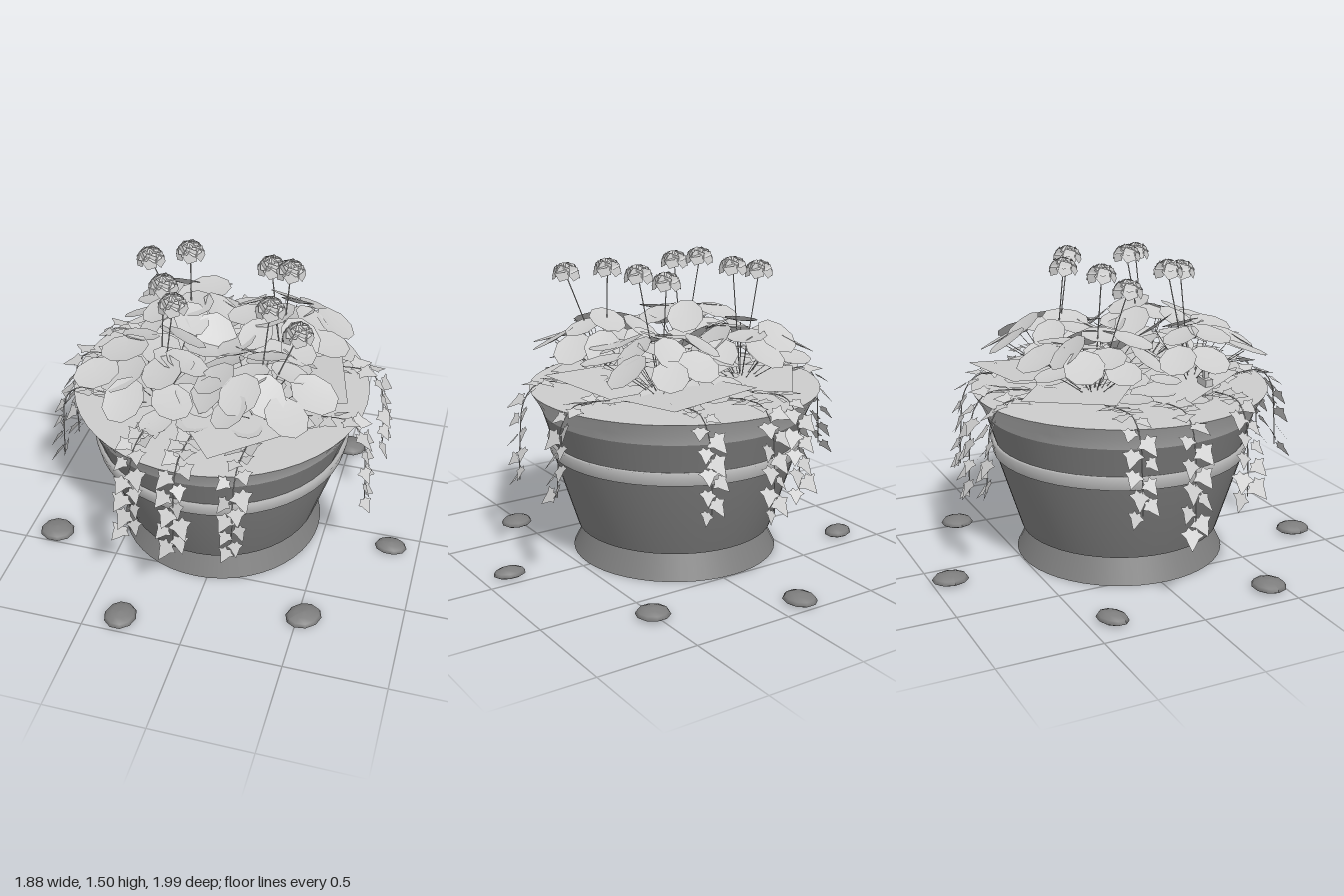
import * as THREE from 'three';

const CX = -0.06, CZ = 0.025, TOP = 0.855;
const V = (x, y, z) => new THREE.Vector3(x, y, z);
const mat = (name, color) => {
  const m = new THREE.MeshStandardMaterial({ color, side: THREE.DoubleSide });
  m.name = name;
  return m;
};

// small seeded random
function makeRandom(seed) {
  return () => {
    seed = (seed * 16807) % 2147483647;
    return seed / 2147483647;
  };
}

// place a flat piece with its +y along "tip" and its +z along "normal"
function orient(mesh, pos, tip, normal) {
  const y = tip.clone().normalize();
  const x = new THREE.Vector3().crossVectors(y, normal).normalize();
  const z = new THREE.Vector3().crossVectors(x, y);
  mesh.quaternion.setFromRotationMatrix(new THREE.Matrix4().makeBasis(x, y, z));
  mesh.position.copy(pos);
  return mesh;
}

// a disc whose middle is moved along its normal
function cuppedDisc(radius, sides, depth, stretch = 1) {
  const g = new THREE.CircleGeometry(radius, sides);
  g.attributes.position.setZ(0, depth);
  g.scale(1, stretch, 1);
  g.computeVertexNormals();
  return g;
}

// lobed trailing leaf, stalk at the origin, tip along +y
function ivyLeafGeometry() {
  const s = new THREE.Shape();
  const half = [[0.02, -0.014], [0.027, 0.004], [0.054, 0.016], [0.03, 0.034], [0.02, 0.056]];
  s.moveTo(0, 0);
  half.forEach(p => s.lineTo(p[0], p[1]));
  s.lineTo(0, 0.092);
  half.slice().reverse().forEach(p => s.lineTo(-p[0], p[1]));
  s.closePath();
  return new THREE.ShapeGeometry(s);
}

export function createModel() {
  const rnd = makeRandom(77);
  const root = new THREE.Group();
  root.name = 'flowerPlanter';
  const M = {
    pot: mat('pot grey', 0x7e7e7e),
    band: mat('band grey', 0xbcbcbc),
    plant: mat('pale grey', 0xcccccc)
  };
  const add = (parent, name, geo, material) => {
    const m = new THREE.Mesh(geo, material);
    m.name = name;
    parent.add(m);
    return m;
  };
  const group = (name) => {
    const g = new THREE.Group();
    g.name = name;
    root.add(g);
    return g;
  };

  // pot: open-bottomed shell made from turned sections
  const pot = group('pot');
  pot.position.set(CX, 0, CZ);
  const turned = (name, pts, material) =>
    add(pot, name, new THREE.LatheGeometry(pts.map(p => new THREE.Vector2(p[0], p[1])), 48), material);
  turned('foot', [[0.522, 0], [0.455, 0.135]], M.pot);
  turned('lowerBody', [[0.455, 0.135], [0.497, 0.135], [0.622, 0.53]], M.pot);
  turned('middleBand', [[0.622, 0.53], [0.632, 0.53], [0.645, 0.592], [0.622, 0.592]], M.band);
  turned('upperBody', [[0.622, 0.592], [0.668, 0.74]], M.pot);
  turned('rim', [[0.668, 0.74], [0.69, 0.79], [0.73, TOP]], M.band);
  const soil = add(pot, 'soil', new THREE.CircleGeometry(0.73, 48), M.plant);
  soil.rotation.x = -Math.PI / 2;
  soil.position.y = TOP;

  // flowering plants: stalks, domed foliage
  const foliage = group('foliage');
  const leafGeo = cuppedDisc(0.088, 9, -0.012, 1.2);
  const stalk = (parent, name, a, b, r) => {
    const mid = a.clone().lerp(b, 0.5);
    mid.y += 0.01;
    add(parent, name, new THREE.TubeGeometry(new THREE.QuadraticBezierCurve3(a, mid, b), 3, r, 4), M.plant);
  };
  const bases = [[-0.29, -0.22], [0.18, -0.22], [-0.29, 0.295], [0.18, 0.295]];
  const rings = [[9, 0.275, 1.08, 0.4], [6, 0.17, 1.14, 0.35], [2, 0.07, 1.15, 0.2]];
  for (const [bx, bz] of bases) {
    const base = V(bx, 0.86, bz);
    for (const [n, radius, height, tilt] of rings) {
      const phase = rnd() * 6;
      for (let i = 0; i < n; i++) {
        const a = phase + (i + 0.5 * rnd()) / n * Math.PI * 2;
        const r = radius + (rnd() - 0.5) * 0.06;
        const t = tilt + (rnd() - 0.5) * 0.6;
        const out = V(Math.cos(a), 0, Math.sin(a));
        const pos = base.clone().addScaledVector(out, r).setY(height + (rnd() - 0.5) * 0.06);
        const tip = out.clone().multiplyScalar(Math.cos(t)).setY(-Math.sin(t));
        const normal = out.clone().multiplyScalar(Math.sin(t)).setY(Math.cos(t));
        // roll each leaf a little about its own length
        normal.addScaledVector(V(-out.z, 0, out.x), (rnd() - 0.5) * 0.6);
        const leaf = orient(add(foliage, 'roundLeaf', leafGeo, M.plant), pos, tip, normal);
        leaf.scale.setScalar(0.9 + rnd() * 0.25);
        stalk(foliage, 'leafStalk', base, pos.clone().addScaledVector(normal, -0.018), 0.002);
      }
    }
  }

  // flower heads: three tiers of overlapping florets over a dome
  const flowers = group('flowers');
  const floretGeo = new THREE.CircleGeometry(0.042, 5);
  const heads = [
    [-0.46, 1.4, -0.13, 0], [-0.27, 1.44, -0.17, 0], [0.13, 1.405, -0.19, 1], [0.24, 1.44, -0.12, 1],
    [-0.3, 1.44, 0.16, 2], [-0.22, 1.415, 0.27, 2], [0.22, 1.425, 0.2, 3], [0.38, 1.4, 0.33, 3]
  ];
  const tiers = [[1, 0.02], [5, 0.65], [6, 1.25]];
  for (const [x, y, z, plant] of heads) {
    const centre = V(x, y, z);
    stalk(flowers, 'flowerStem', V(bases[plant][0], 0.86, bases[plant][1]), centre, 0.003);
    for (const [n, lean] of tiers) {
      for (let i = 0; i < n; i++) {
        const a = (i + lean) / n * Math.PI * 2;
        const s = Math.sin(lean), c = Math.cos(lean);
        const normal = V(s * Math.cos(a), c, s * Math.sin(a));
        const pos = V(normal.x * 0.058, normal.y * 0.05, normal.z * 0.058).add(centre);
        const tip = V(c * Math.cos(a), -s, c * Math.sin(a));
        orient(add(flowers, 'floret', floretGeo, M.plant), pos, tip, normal);
      }
    }
  }

  // ground cover: broad tilted plates and low leaves
  const cover = group('groundCover');
  const plates = [
    [0.14, -0.34, 0.5, 0.5, 0.1], [0.3, 0.02, 0.5, 0.45, 0.25], [-0.3, -0.3, 0.45, 0.4, 0.9],
    [-0.36, 0.18, 0.4, 0.5, 0.5], [0.14, 0.36, 0.55, 0.4, 0.7], [-0.06, 0.05, 0.5, 0.5, 0.4]
  ];
  for (const [x, z, w, d, turn] of plates) {
    const p = add(cover, 'broadPlate', new THREE.PlaneGeometry(w, d), M.plant);
    p.rotation.set(-Math.PI / 2 + (rnd() - 0.5) * 0.2, (rnd() - 0.5) * 0.2, turn);
    p.position.set(x, 0.92, z);
  }
  for (let i = 0; i < 32; i++) {
    const a = i * 2.4, r = 0.54 * Math.sqrt((i + 0.5) / 32), t = (rnd() - 0.5) * 0.4;
    const out = V(Math.cos(a), 0, Math.sin(a));
    const pos = V(CX, 0.89 + (0.56 - r) * 0.08 + rnd() * 0.03, CZ).addScaledVector(out, r);
    orient(add(cover, 'lowLeaf', leafGeo, M.plant), pos, out.clone().setY(-t), V(t * out.x, 1, t * out.z))
      .scale.setScalar(0.75 + rnd() * 0.3);
  }

  // trailing vines over the rim: tip x, tip z, lowest y
  const vines = group('vines');
  const ivyGeo = ivyLeafGeometry();
  const trails = [
    [-0.81, -0.22, 0.42], [-0.86, 0.02, 0.31], [-0.81, 0.32, 0.42], [0.735, -0.19, 0.42], [0.72, 0.23, 0.38],
    [-0.25, -0.75, 0.42], [-0.08, -0.78, 0.36], [0.23, -0.72, 0.4],
    [-0.29, 0.8, 0.44], [-0.07, 0.83, 0.42], [0.2, 0.8, 0.42]
  ];
  for (const [x, z, low] of trails) {
    const sideways = Math.abs(x - CX) > Math.abs(z - CZ);
    const out = sideways ? V(Math.sign(x), 0, 0) : V(0, 0, Math.sign(z));
    const side = V(out.z, 0, -out.x);
    const end = V(x, low + 0.05, z);
    const at = (back, y) => end.clone().addScaledVector(out, -back).setY(y);
    const path = new THREE.CatmullRomCurve3([
      at(0.4, 0.87), at(0.22, 0.9), at(0.1, 0.895), at(0.035, 0.82), at(0.01, 0.64), end
    ]);
    add(vines, 'vineStem', new THREE.TubeGeometry(path, 20, 0.003, 4), M.plant);
    for (let i = 0; i < 15; i++) {
      const t = 0.1 + 0.88 * i / 14;
      const pos = path.getPointAt(t);
      const hang = Math.min(1, Math.max(0, (t - 0.3) * 4));
      const s = (i % 2 ? 1 : -1) * (0.3 + rnd() * 0.5);
      pos.addScaledVector(side, s * 0.045);
      const tip = out.clone().multiplyScalar(1 - 0.5 * hang).setY(0.15 - 0.9 * hang).addScaledVector(side, s * 0.7);
      // each leaf twists a little sideways
      const normal = out.clone().multiplyScalar(0.2 + 0.55 * hang).setY(1 - 0.35 * hang)
        .addScaledVector(side, (rnd() - 0.5) * 1.1);
      orient(add(vines, 'ivyLeaf', ivyGeo, M.plant), pos, tip, normal)
        .scale.setScalar(0.75 + rnd() * 0.35);
    }
  }

  // small garden marker
  const marker = group('marker');
  marker.position.set(-0.465, 0, 0.28);
  add(marker, 'markerBlock', new THREE.BoxGeometry(0.08, 0.1, 0.04), M.plant).position.y = 0.905;
  add(marker, 'markerPost', new THREE.BoxGeometry(0.02, 0.12, 0.02), M.plant).position.y = 1.01;

  // flat pebbles around the pot: x, z, half width, half depth, turn
  const stones = group('stones');
  const stoneGeo = new THREE.SphereGeometry(1, 10, 6);
  const sp = stoneGeo.attributes.position;
  for (let i = 0; i < sp.count; i++) if (sp.getY(i) < 0) sp.setY(i, sp.getY(i) * 0.4);
  stoneGeo.computeVertexNormals();
  const pebbles = [
    [-0.14, -0.91, 0.078, 0.09, 0], [0.51, -0.66, 0.083, 0.083, 0], [-0.83, -0.38, 0.085, 0.064, 0.4],
    [-0.85, 0.43, 0.09, 0.083, 0], [0.86, 0.09, 0.083, 0.06, 0], [0.53, 0.68, 0.092, 0.078, 0.7],
    [-0.33, 0.91, 0.08, 0.088, 0]
  ];
  for (const [x, z, w, d, turn] of pebbles) {
    const s = add(stones, 'stone', stoneGeo, M.pot);
    s.scale.set(w, 0.033, d);
    s.rotation.y = turn;
    s.position.set(x, 0.014, z);
  }
  return root;
}
